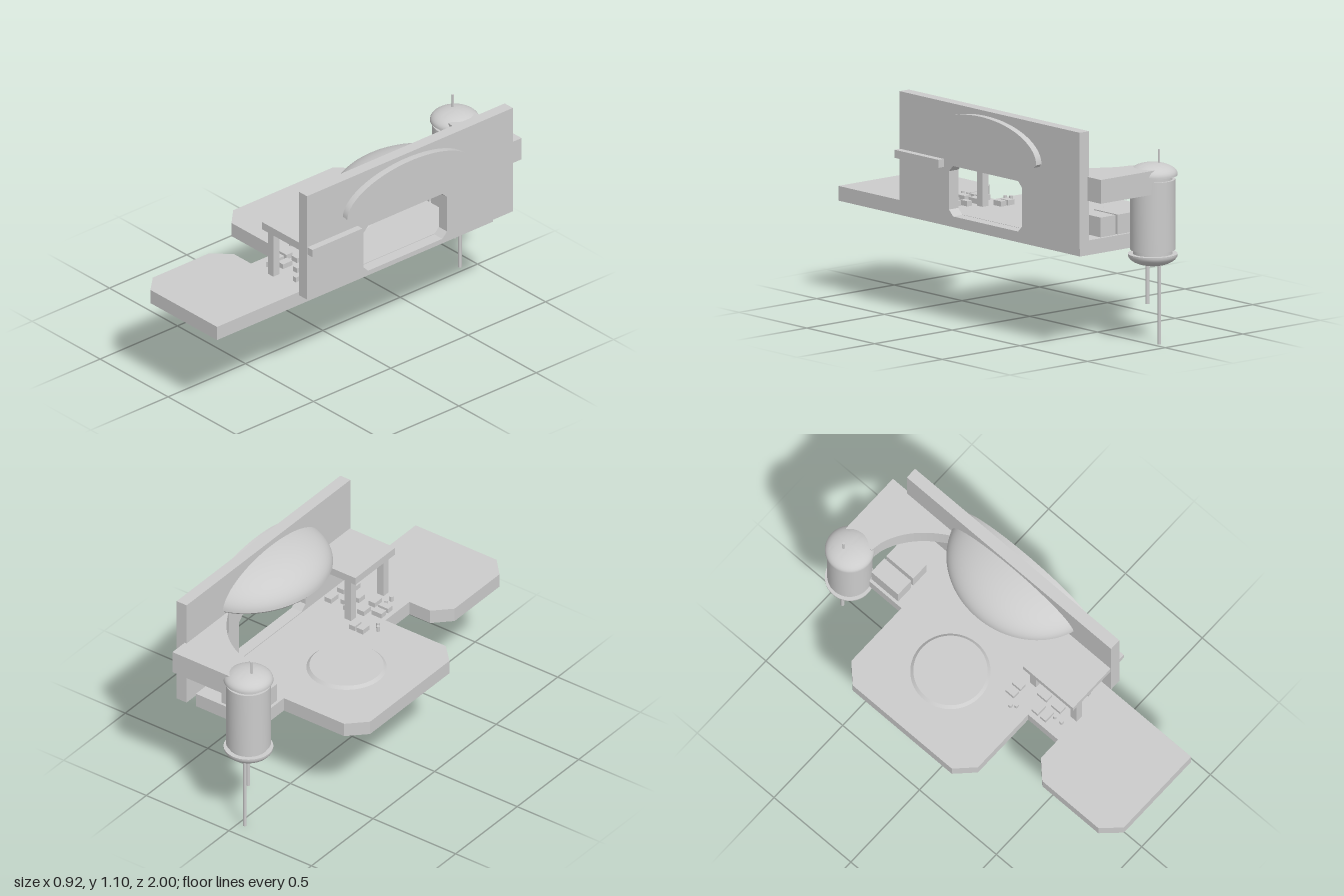
import * as THREE from 'three';
import { toCreasedNormals } from 'three/addons/utils/BufferGeometryUtils.js';

const material = new THREE.MeshStandardMaterial({ color: 0xcccccc });
const points = (list) => list.map(([x, y]) => new THREE.Vector2(x, y));

export function createModel() {
  const model = new THREE.Group();

  const add = (name, geometry, x = 0, y = 0, z = 0, parent = model) => {
    const mesh = new THREE.Mesh(geometry, material);
    mesh.name = name;
    mesh.position.set(x, y, z);
    parent.add(mesh);
    return mesh;
  };
  // Box given by its limits on each axis
  const box = (name, x0, x1, y0, y1, z0, z1, parent) =>
    add(name, new THREE.BoxGeometry(x1 - x0, y1 - y0, z1 - z0),
      (x0 + x1) / 2, (y0 + y1) / 2, (z0 + z1) / 2, parent);
  const rod = (name, r, x, y0, y1, z, parent) =>
    add(name, new THREE.CylinderGeometry(r, r, y1 - y0, 16), x, (y0 + y1) / 2, z, parent);
  // Horizontal slab from a shape drawn in (x, -z)
  const slab = (name, shape, y0, y1) => {
    const g = new THREE.ExtrudeGeometry(shape, { depth: y1 - y0, bevelEnabled: false, curveSegments: 24 });
    return add(name, toCreasedNormals(g.rotateX(-Math.PI / 2), 0.5), 0, y0, 0);
  };

  // Base plate with two chamfered pads
  const outline = [
    [0.36, 1], [0.36, -0.785], [-0.005, -0.785], [-0.005, -0.56], [-0.37, -0.56], [-0.46, -0.47],
    [-0.46, 0.175], [-0.37, 0.265], [-0.005, 0.265], [-0.005, 0.46], [-0.13, 0.46],
    [-0.215, 0.545], [-0.215, 0.91], [-0.13, 1],
  ];
  slab('basePlate', new THREE.Shape(points(outline.map(([x, z]) => [x, -z]))), 0.467, 0.54);
  add('roundPad', new THREE.CylinderGeometry(0.18, 0.195, 0.014, 64), -0.09, 0.547, -0.165);

  // Upright wall with a chamfered window, drawn in (-z, y)
  const wall = new THREE.Shape(points([[-0.475, 0.525], [0.855, 0.525], [0.855, 1.1], [-0.475, 1.1]]));
  const c = 0.03;
  wall.holes.push(new THREE.Path(points([
    [-0.11, 0.54 + c], [-0.11, 0.79 - c], [-0.11 + c, 0.79], [0.43 - c, 0.79],
    [0.43, 0.79 - c], [0.43, 0.54 + c], [0.43 - c, 0.54], [-0.11 + c, 0.54],
  ])));
  add('wall', new THREE.ExtrudeGeometry(wall, { depth: 0.06, bevelEnabled: false })
    .rotateY(Math.PI / 2), 0.364);

  // Half dome passing through the wall
  const dome = new THREE.Group();
  dome.name = 'dome';
  dome.position.set(0.46, 0.9, -0.165);
  model.add(dome);
  const profile = [[0, -0.015], [0.96, -0.015], [1, 0]];
  for (let i = 1; i <= 20; i++) {
    const a = (i / 20) * Math.PI / 2;
    profile.push([i === 20 ? 0 : Math.cos(a), 0.177 * Math.sin(a)]);
  }
  const shell = new THREE.LatheGeometry(points(profile), 48, Math.PI, Math.PI).scale(0.355, 1, 0.41);
  add('domeShell', toCreasedNormals(shell, 0.5), 0, 0, 0, dome);
  const face = [...profile, ...profile.slice(1, -1).reverse().map(([r, y]) => [-r, y])];
  add('domeFace', new THREE.ShapeGeometry(new THREE.Shape(points(face.map(([r, y]) => [r * 0.41, y]))))
    .rotateY(Math.PI / 2), 0, 0, 0, dome);

  // Shelf on two posts
  box('shelf', 0.09, 0.46, 0.775, 0.815, 0.148, 0.472);
  for (const z of [0.18, 0.445]) box('shelfPost', 0.125, 0.165, 0.457, 0.776, z - 0.02, z + 0.02);

  // Curved bracket from the wall to the canister
  const bracket = new THREE.Shape();
  bracket.moveTo(0.03, 0.955);
  bracket.lineTo(0.03, 0.787);
  bracket.lineTo(0.09, 0.777);
  bracket.quadraticCurveTo(0.26, 0.72, 0.364, 0.51);
  bracket.lineTo(0.375, 0.51);
  bracket.lineTo(0.375, 0.955);
  slab('bracket', bracket, 0.757, 0.875);

  // Canister with domed caps and pins
  const canister = new THREE.Group();
  canister.name = 'canister';
  canister.position.set(-0.027, 0, -0.877);
  model.add(canister);
  const half = [[0.11, 0.815], [0.097, 0.815], [0.097, 0.835], [0.121, 0.835], [0.121, 0.84]];
  for (let i = 1; i <= 10; i++) {
    const a = (i / 10) * Math.PI / 2;
    half.push([i === 10 ? 0 : 0.121 * Math.cos(a), 0.84 + 0.055 * Math.sin(a)]);
  }
  const lower = half.map(([r, y]) => [r, 1.281 - y]).reverse();
  add('canisterBody', toCreasedNormals(new THREE.LatheGeometry(points([...lower, ...half]), 48), 0.6),
    0, 0, 0, canister);
  rod('topPin', 0.006, -0.029, 0.88, 0.96, -0.013, canister);
  rod('longPin', 0.009, -0.008, 0, 0.42, -0.04, canister);
  rod('shortPin', 0.01, 0.017, 0.195, 0.42, 0.02, canister);

  // Blocks beside the canister
  for (const x of [0.01, 0.12]) box('rearBlock', x, x + 0.095, 0.535, 0.638, -0.77, -0.595);

  // Small components on the plate: x, z, width, depth
  const chips = [
    [0.03, 0.13, 0.04, 0.055], [0.077, 0.13, 0.035, 0.055], [0.05, 0.285, 0.06, 0.04],
    [0.05, 0.338, 0.06, 0.036], [0.12, 0.26, 0.04, 0.06], [0.12, 0.35, 0.04, 0.06],
    [0.2, 0.24, 0.03, 0.05], [0.2, 0.33, 0.03, 0.05], [0.24, 0.28, 0.03, 0.06],
    [0.31, 0.25, 0.04, 0.06], [0.31, 0.35, 0.04, 0.06], [0.27, 0.4, 0.02, 0.04],
  ];
  for (const [x, z, w, d] of chips) box('chip', x - w / 2, x + w / 2, 0.535, 0.566, z - d / 2, z + d / 2);
  for (const [x, z] of [[-0.03, 0.172], [-0.012, 0.195], [0.07, 0.372], [0.07, 0.415]])
    rod('smallPost', 0.009, x, 0.535, 0.568, z);

  return model;
}
